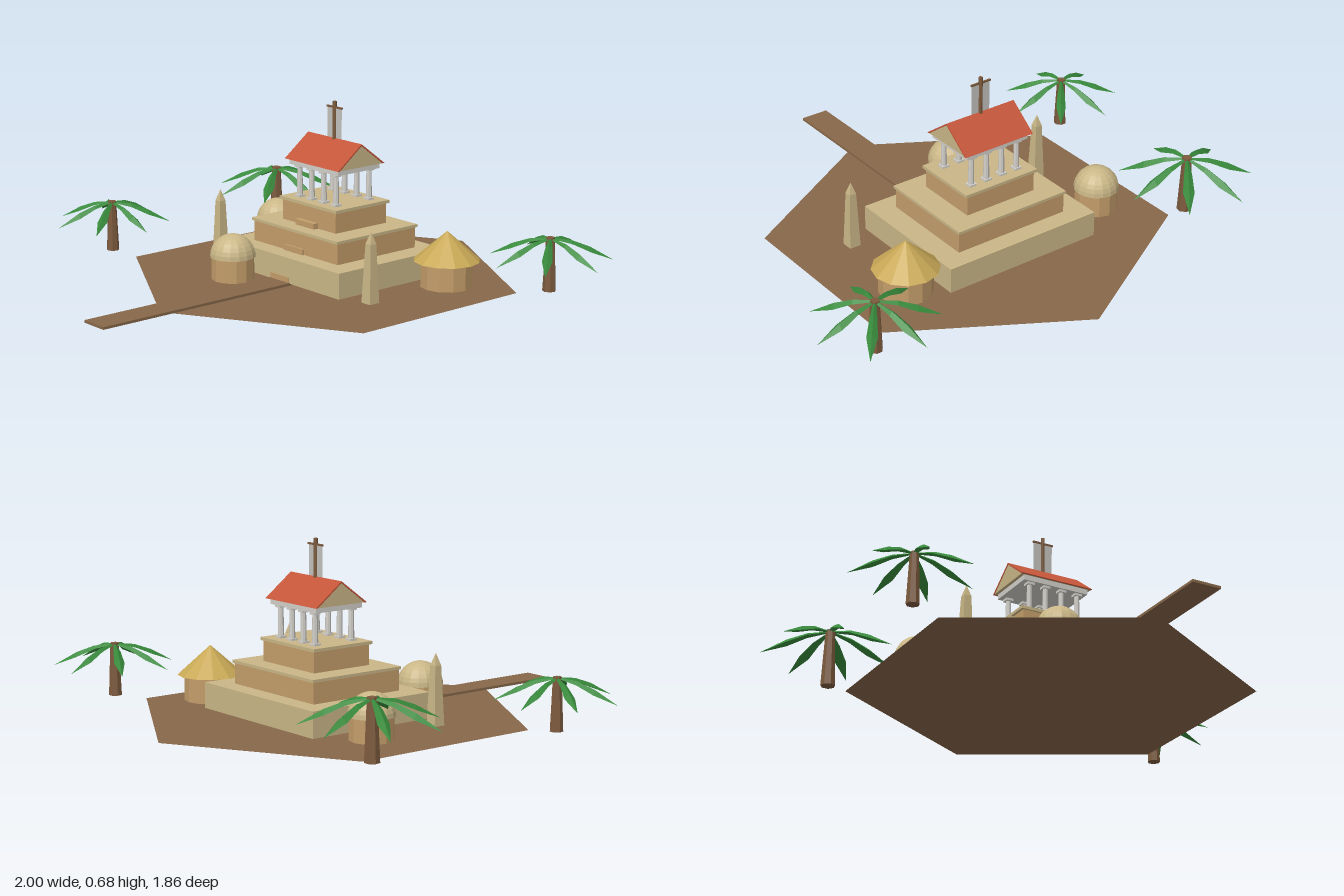
import * as THREE from 'three';

const mat = (name, color, extra = {}) => {
  const m = new THREE.MeshStandardMaterial({ color, flatShading: true, ...extra });
  m.name = name;
  return m;
};

export function createModel() {
  const model = new THREE.Group();
  model.name = 'templeVillage';
  const earth = mat('earth', 0x886849, { side: THREE.DoubleSide });
  const stone = mat('pale stone', 0xcab787);
  const clay = mat('clay', 0xc49d6a);
  const tile = mat('red tile', 0xc4563a);
  const marble = mat('marble', 0xd3d0ca);
  const cloth = mat('grey cloth', 0xc4c2bd, { side: THREE.DoubleSide });
  const wood = mat('wood', 0x7d5b3e);
  const thatch = mat('thatch', 0xc8a856);
  const leaf = mat('palm leaf', 0x388a3c, { side: THREE.DoubleSide });

  const add = (name, geo, material, x = 0, y = 0, z = 0, parent = model) => {
    const m = new THREE.Mesh(geo, material);
    m.name = name;
    m.position.set(x, y, z);
    parent.add(m);
    return m;
  };
  // box given by its base height and top height
  const block = (name, w, y0, y1, d, material, x, z, parent) =>
    add(name, new THREE.BoxGeometry(w, y1 - y0, d), material, x, (y0 + y1) / 2, z, parent);

  const base = 0.012; // level on which everything stands
  const tz = -0.22; // centre of the temple in z

  // hexagonal ground and the path leading out of it
  const ground = add('ground', new THREE.CircleGeometry(0.78, 6, Math.PI / 2), earth, 0, 0, -0.15);
  ground.rotation.x = -Math.PI / 2;
  block('path', 0.115, 0.005, 0.015, 0.945, earth, 0, 0.453);

  // stepped platform
  block('lowerTier', 0.674, base, 0.112, 0.55, stone, 0, tz);
  block('middleTier', 0.49, 0.112, 0.193, 0.4, clay, 0, tz);
  block('middleTrim', 0.5, 0.193, 0.204, 0.415, stone, 0, tz);
  block('upperTier', 0.31, 0.204, 0.284, 0.26, clay, 0, tz);
  block('upperTrim', 0.33, 0.284, 0.296, 0.275, stone, 0, tz);
  block('lowerStep', 0.107, base, 0.036, 0.02, clay, 0, 0.048);
  block('middleStep', 0.107, 0.112, 0.135, 0.03, clay, 0, -0.026);
  block('upperStep', 0.107, 0.204, 0.226, 0.03, clay, 0, -0.083);

  // columns in two rows
  const temple = new THREE.Group();
  temple.name = 'temple';
  model.add(temple);
  const shaft = new THREE.CylinderGeometry(0.01, 0.012, 0.125, 8);
  for (const side of [-1, 1]) {
    for (let i = 0; i < 4; i++) {
      const x = -0.105 + i * 0.07, z = tz + side * 0.085;
      add('column', shaft, marble, x, 0.358, z, temple);
      block('columnBase', 0.03, 0.296, 0.304, 0.03, marble, x, z, temple);
      block('columnCapital', 0.03, 0.412, 0.422, 0.03, marble, x, z, temple);
    }
  }
  block('entablature', 0.28, 0.422, 0.443, 0.215, marble, 0, tz, temple);

  // gabled roof: stone gable body under two tiled slopes
  const gableShape = new THREE.Shape();
  gableShape.moveTo(-0.113, 0.443).lineTo(0.113, 0.443).lineTo(0, 0.528);
  const gable = new THREE.ExtrudeGeometry(gableShape, { depth: 0.306, bevelEnabled: false });
  gable.translate(0, 0, -0.153);
  add('gable', gable, stone, 0, 0, tz, temple).rotation.y = Math.PI / 2;
  const slopeShape = new THREE.Shape();
  slopeShape.moveTo(-0.12, 0.443).lineTo(-0.11, 0.443).lineTo(0, 0.526)
    .lineTo(0.11, 0.443).lineTo(0.12, 0.443).lineTo(0, 0.533);
  const slopes = new THREE.ExtrudeGeometry(slopeShape, { depth: 0.31, bevelEnabled: false });
  slopes.translate(0, 0, -0.155);
  add('roofSlopes', slopes, tile, 0, 0, tz, temple).rotation.y = Math.PI / 2;

  // banner on the ridge
  add('bannerPole', new THREE.CylinderGeometry(0.008, 0.008, 0.15, 8), wood, 0, 0.602, tz, temple);
  block('bannerBar', 0.088, 0.65, 0.657, 0.007, wood, 0, tz, temple);
  add('banner', new THREE.PlaneGeometry(0.082, 0.125), cloth, 0, 0.59, tz, temple);

  // obelisks either side of the platform
  for (const side of [-1, 1]) {
    const shaftGeo = new THREE.CylinderGeometry(0.02, 0.033, 0.225, 4);
    const tipGeo = new THREE.ConeGeometry(0.02, 0.046, 4);
    const ob = new THREE.Group();
    ob.name = 'obelisk';
    ob.position.set(side * 0.441, base, -0.008);
    ob.rotation.y = Math.PI / 4;
    model.add(ob);
    add('obeliskShaft', shaftGeo, stone, 0, 0.1125, 0, ob);
    add('obeliskTip', tipGeo, stone, 0, 0.248, 0, ob);
  }

  // round huts with domes
  for (const [x, z] of [[-0.476, -0.338], [-0.147, 0.168]]) {
    add('domeHutWall', new THREE.CylinderGeometry(0.083, 0.083, 0.09, 12), clay, x, base + 0.045, z);
    const dome = new THREE.SphereGeometry(0.088, 16, 8, 0, Math.PI * 2, 0, Math.PI / 2);
    add('dome', dome, stone, x, 0.1, z);
    const rim = add('domeUnderside', new THREE.CircleGeometry(0.088, 16), stone, x, 0.1, z);
    rim.rotation.x = Math.PI / 2;
  }

  // thatched hut
  add('thatchHutWall', new THREE.CylinderGeometry(0.102, 0.102, 0.1, 12), clay, 0.458, base + 0.05, -0.384);
  add('thatchRoof', new THREE.ConeGeometry(0.128, 0.114, 12), thatch, 0.458, 0.169, -0.384);

  // drooping leaf: stations of [reach, ridge height, half width, edge drop]
  const stations = [[0.01, 0.205, 0.006, 0.005], [0.08, 0.196, 0.014, 0.012],
    [0.15, 0.17, 0.02, 0.017], [0.24, 0.118, 0, 0]];
  const pos = [], idx = [];
  stations.forEach(([r, y, w, d], i) => {
    pos.push(r, y - d, w, r, y, 0, r, y - d, -w);
    if (i) {
      const a = (i - 1) * 3, b = i * 3;
      for (let k = 0; k < 2; k++) {
        idx.push(a + k, b + k, a + k + 1, b + k, b + k + 1, a + k + 1);
      }
    }
  });
  const leafGeo = new THREE.BufferGeometry();
  leafGeo.setAttribute('position', new THREE.Float32BufferAttribute(pos, 3));
  leafGeo.setIndex(idx);
  leafGeo.computeVertexNormals();

  // palms: position and scale
  for (const [x, z, s] of [[-0.743, -0.553, 1.1], [0.76, -0.628, 1], [-0.79, 0.27, 0.97]]) {
    const palm = new THREE.Group();
    palm.name = 'palm';
    palm.position.set(x, base, z);
    palm.scale.setScalar(s);
    model.add(palm);
    add('palmTrunk', new THREE.CylinderGeometry(0.017, 0.026, 0.208, 7), wood, 0, 0.104, 0, palm);
    for (let i = 0; i < 7; i++) {
      add('palmLeaf', leafGeo, leaf, 0, 0, 0, palm).rotation.y = (i * Math.PI * 2) / 7;
    }
  }
  return model;
}
